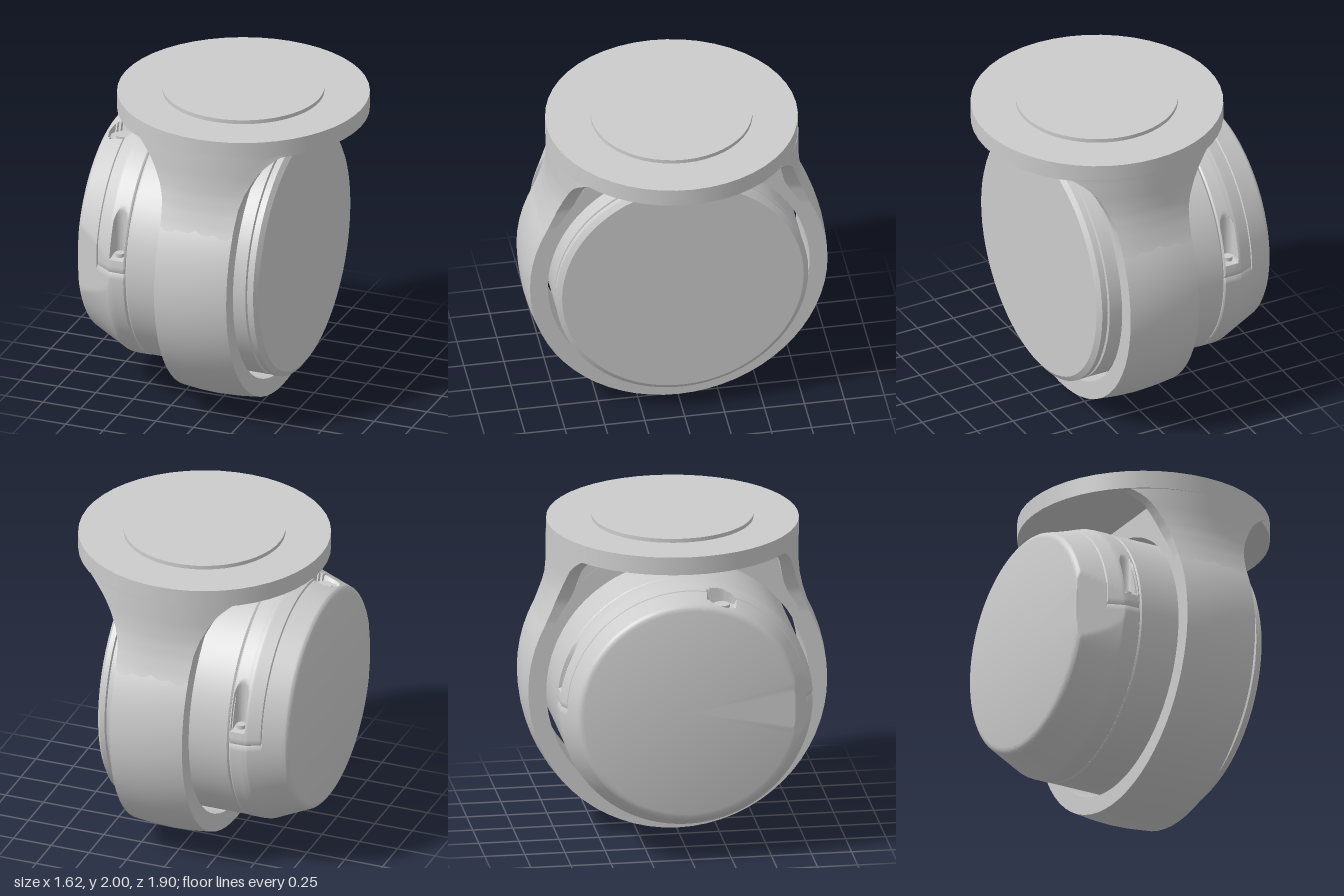
import * as THREE from 'three';
import { toCreasedNormals } from 'three/addons/utils/BufferGeometryUtils.js';

const material = new THREE.MeshStandardMaterial({ color: 0xcccccc, side: THREE.DoubleSide });

function add(parent, name, geometry, x = 0, y = 0, z = 0) {
  const mesh = new THREE.Mesh(geometry, material);
  mesh.name = name;
  mesh.position.set(x, y, z);
  parent.add(mesh);
  return mesh;
}

// Lathe turned about the x axis; profile is [x, radius] with x ascending
function latheX(profile, segments) {
  const points = profile.map(([x, r]) => new THREE.Vector2(r, x));
  return new THREE.LatheGeometry(points, segments).rotateZ(-Math.PI / 2);
}

// Linear interpolation in a list of [key, value] pairs
function sample(list, k) {
  for (let i = 1; i < list.length; i++) {
    if (k <= list[i][0]) {
      const [a, va] = list[i - 1], [b, vb] = list[i];
      return va + (vb - va) * Math.max(0, (k - a) / (b - a));
    }
  }
  return list[list.length - 1][1];
}

// Arm that flares from the yoke ring into the flange, on the +z side
function armGeometry() {
  const outer = [[1.25, 0.895], [1.32, 0.87], [1.4, 0.838], [1.5, 0.807], [1.6, 0.787], [1.7, 0.78]];
  const inner = [[1.25, 0.8], [1.35, 0.78], [1.45, 0.735], [1.52, 0.69], [1.6, 0.655], [1.78, 0.615], [1.84, 0.58], [1.88, 0.54]];
  const width = [[1.25, 0.239], [1.4, 0.24], [1.53, 0.252], [1.62, 0.28], [1.71, 0.325], [1.78, 0.37], [1.84, 0.435], [1.88, 0.5]];
  const rows = 22, n = 12, loop = 2 * (n + 1);
  const position = [], index = [];
  for (let i = 0; i <= rows; i++) {
    const y = 1.25 + 0.63 * i / rows;
    const w = sample(width, y), t = THREE.MathUtils.smoothstep(y, 1.3, 1.7);
    for (let j = 0; j < loop; j++) {
      const front = j <= n;
      const x = w * (front ? 2 * j / n - 1 : 1 - 2 * (j - n - 1) / n);
      const crown = (1 - t) * 0.3 * x * x + t * (0.78 - Math.sqrt(0.6084 - x * x));
      position.push(x, y, front ? sample(outer, y) - crown : sample(inner, y));
    }
  }
  for (let i = 0; i < rows; i++) {
    for (let j = 0; j < loop; j++) {
      const a = i * loop + j, b = i * loop + (j + 1) % loop;
      index.push(a, b, b + loop, a, b + loop, a + loop);
    }
  }
  const g = new THREE.BufferGeometry();
  g.setAttribute('position', new THREE.Float32BufferAttribute(position, 3));
  g.setIndex(index);
  return toCreasedNormals(g, 0.6);
}

// Solid web that fills the space between ring and flange
function webGeometry() {
  const s = new THREE.Shape();
  s.absarc(0, 0.95, 0.83, 0.573, Math.PI - 0.573, false);
  [[-0.78, 1.42], [-0.7, 1.6], [-0.68, 1.88], [0.68, 1.88], [0.7, 1.6], [0.78, 1.42]].forEach(([z, y]) => s.lineTo(z, y));
  return new THREE.ExtrudeGeometry(s, { depth: 0.478, bevelEnabled: false, curveSegments: 40 }).rotateY(Math.PI / 2);
}

// Tapered end housing, skewed a little, with screw channels and a round recess
function housingGeometry() {
  const outline = [[-0.812, 0.66], [-0.806, 0.682], [-0.79, 0.7], [-0.56, 0.787], [-0.53, 0.79], [-0.45, 0.79], [-0.442, 0.782]];
  const profile = [[-0.812, 0]];
  for (let i = 0; i <= 74; i++) {
    const x = -0.812 + 0.005 * i;
    profile.push([x, sample(outline, x)]);
  }
  profile.push([-0.442, 0.7]);
  const g = latheX(profile, 240), p = g.attributes.position;
  for (let i = 0; i < p.count; i++) {
    const x = p.getX(i);
    let y = p.getY(i), z = p.getZ(i);
    const skew = THREE.MathUtils.clamp((-0.545 - x) / 0.265, 0, 1);
    const rim = Math.hypot(y, z) > 0.6;
    y += 0.955 + 0.025 * skew;
    z = Math.min(z - 0.015 * skew, 0.79 - 0.15 * skew);
    // seam of the upper cover
    if (rim && x > -0.65 && ((y > 0.98 && x < -0.643) || Math.abs(y - 0.985) < 0.011)) {
      z *= 0.988;
      y = 0.955 + (y - 0.955) * 0.988;
    }
    // vertical screw channels front and back
    const dx = Math.abs(x + 0.5);
    if (rim && dx < 0.045 && y > 1.06 && y < 1.42) {
      const floor = 0.72 - Math.sqrt(0.045 ** 2 - dx * dx);
      z = Math.sign(z) * Math.min(Math.abs(z), floor);
    }
    // round recess on top
    if (rim && y > 1.4 && Math.hypot(x + 0.685, z - 0.2) < 0.09) y = Math.min(y, 1.62);
    p.setXYZ(i, x, y, z);
  }
  return toCreasedNormals(g, 0.5);
}

export function createModel() {
  const model = new THREE.Group();
  model.name = 'yokeMountedDrum';

  // Mounting flange and raised pad
  add(model, 'flange', new THREE.CylinderGeometry(0.78, 0.78, 0.115, 48), 0.03, 1.9175, 0);
  add(model, 'flangePad', new THREE.CylinderGeometry(0.5, 0.5, 0.03, 48), 0.03, 1.985, 0);

  // Yoke: crowned ring, web, and two flared arms
  const yoke = new THREE.Group();
  yoke.name = 'yoke';
  model.add(yoke);
  const ring = [[-0.24, 0.82], [-0.24, 0.932], [-0.12, 0.945], [0, 0.95], [0.12, 0.945], [0.24, 0.932], [0.24, 0.82], [-0.24, 0.82]];
  add(yoke, 'yokeRing', toCreasedNormals(latheX(ring, 64), 0.5), 0.05, 0.95, 0);
  add(yoke, 'yokeWeb', webGeometry(), -0.189, 0, 0);
  const arm = armGeometry();
  for (const side of [1, -1]) {
    add(yoke, side > 0 ? 'frontArm' : 'backArm', arm, 0.05, 0, 0).scale.z = side;
  }
  add(yoke, 'stopBlock', new THREE.BoxGeometry(0.32, 0.11, 0.23), 0.42, 1.82, 0);

  // Drum with grooved rim
  const drum = [[-0.46, 0], [-0.46, 0.772], [-0.44, 0.772], [-0.44, 0.78], [-0.43, 0.788], [0.36, 0.788], [0.365, 0.772],
    [0.375, 0.772], [0.38, 0.79], [0.412, 0.79], [0.436, 0.757], [0.436, 0]];
  add(model, 'drum', toCreasedNormals(latheX(drum, 64), 0.4), 0, 0.955, 0);

  // End housing with its screws
  add(model, 'endHousing', housingGeometry());
  for (const side of [1, -1]) {
    add(model, 'coverScrew', new THREE.CylinderGeometry(0.03, 0.03, 0.04, 20), -0.5, 1.07, side * 0.72);
  }
  add(model, 'recessButton', new THREE.CylinderGeometry(0.05, 0.05, 0.03, 24), -0.685, 1.625, 0.2);
  return model;
}
